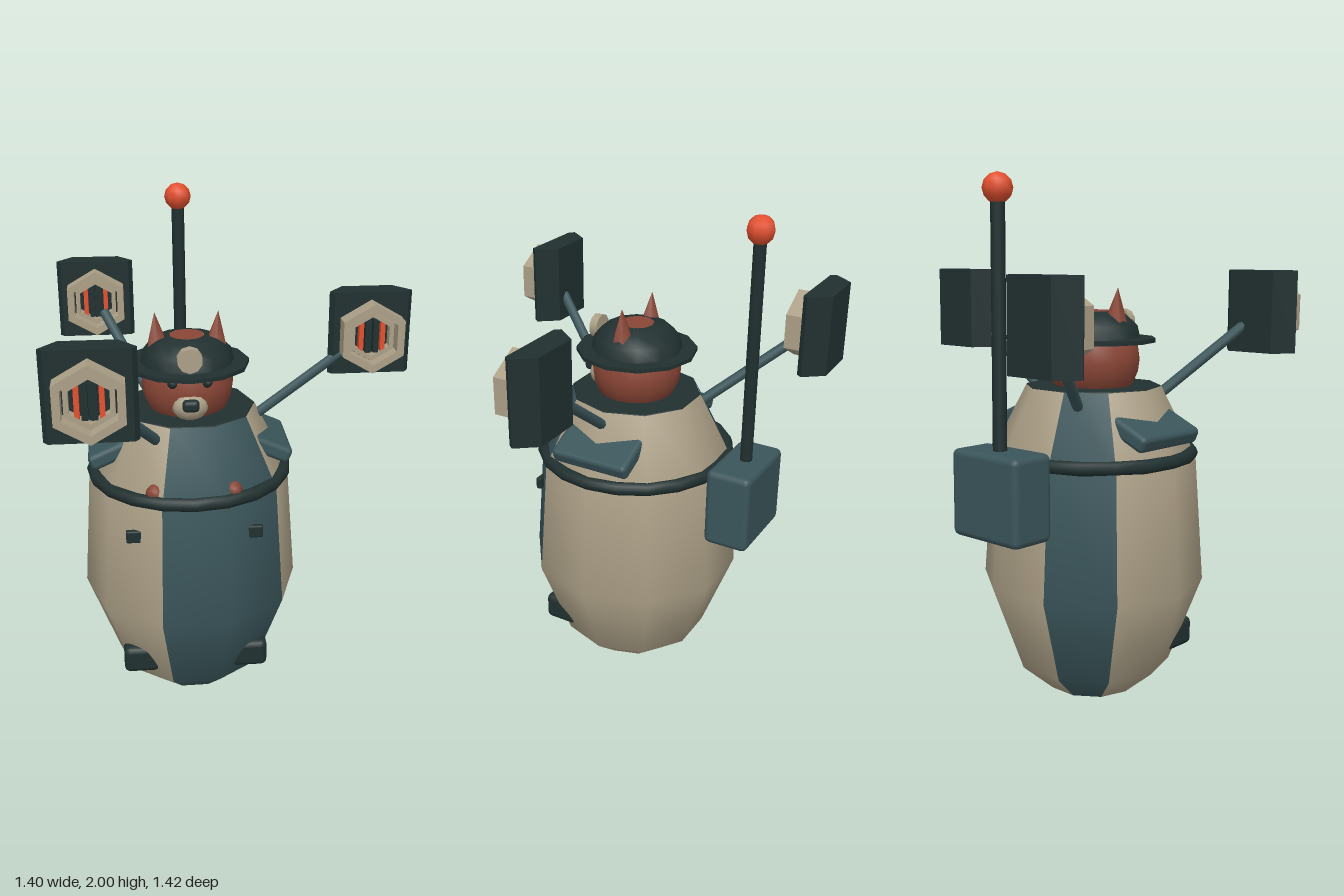
import * as THREE from 'three';
import { RoundedBoxGeometry } from 'three/addons/geometries/RoundedBoxGeometry.js';

const mat = (name, color) => {
  const m = new THREE.MeshStandardMaterial({ color });
  m.name = name;
  return m;
};

export function createModel() {
  const cream = mat('cream', 0xaca087);
  const teal = mat('teal', 0x3a555a);
  const dark = mat('dark', 0x213030);
  const brown = mat('brown', 0x8a4636);
  const red = mat('red', 0xe2502f);

  const root = new THREE.Group();
  root.name = 'capsulePilot';
  const figure = new THREE.Group(); // everything around the body axis
  figure.name = 'figure';
  figure.position.set(-0.182, 0, -0.004);
  root.add(figure);

  const add = (parent, name, geometry, material, x = 0, y = 0, z = 0) => {
    const m = new THREE.Mesh(geometry, material);
    m.name = name;
    m.position.set(x, y, z);
    parent.add(m);
    return m;
  };
  const lathe = (pts, n, start = 0) =>
    new THREE.LatheGeometry(pts.map(p => new THREE.Vector2(...p)), n, start, Math.PI * 2);
  const rod = (parent, name, a, b, r, material) => {
    const d = b.clone().sub(a);
    const m = add(parent, name, new THREE.CylinderGeometry(r, r, d.length(), 8), material);
    m.position.copy(a).add(b).multiplyScalar(0.5);
    m.quaternion.setFromUnitVectors(new THREE.Vector3(0, 1, 0), d.normalize());
    return m;
  };

  // Ten-sided capsule body; whole facets carry the stripe colour
  const profile = [[0.18, 0], [0.31, 0.11], [0.438, 0.45], [0.402, 0.945], [0.265, 1.215]];
  const start = -Math.PI / 10;
  const body = lathe(profile, 10, start);
  const perFacet = (profile.length - 1) * 6;
  for (let i = 0; i < 10; i++) body.addGroup(i * perFacet, perFacet, [0, 1, 6].includes(i) ? 1 : 0);
  add(figure, 'body', body, [cream, teal]);
  add(figure, 'bodyBase', new THREE.CylinderGeometry(0.18, 0.18, 0.004, 10, 1, false, start), dark, 0, 0.002);
  add(figure, 'collar', new THREE.CylinderGeometry(0.262, 0.265, 0.006, 10, 1, false, start), dark, 0, 1.215);
  add(figure, 'rimRing', new THREE.TorusGeometry(0.384, 0.027, 8, 20).rotateX(Math.PI / 2), dark, 0, 0.957);

  // Paired parts on the body
  for (const s of [-1, 1]) {
    const pad = add(figure, 'shoulderPad', new RoundedBoxGeometry(0.18, 0.065, 0.335, 2, 0.02), teal, s * 0.31, 1.073, -0.004);
    pad.rotation.z = -s * 0.42;
    add(figure, 'boot', new RoundedBoxGeometry(0.145, 0.115, 0.15, 2, 0.025), dark, s * 0.22, 0.213, 0.21);
    add(figure, 'latch', new RoundedBoxGeometry(0.06, 0.05, 0.025, 1, 0.006), dark, s * 0.233, 0.806, 0.322);
    add(figure, 'paw', new THREE.SphereGeometry(0.035, 8, 6), brown, s * 0.148, 0.985, 0.32);
  }

  // Head with face
  const head = new THREE.Group();
  head.name = 'head';
  figure.add(head);
  add(head, 'skull', new THREE.SphereGeometry(0.18, 16, 12), brown, 0, 1.315);
  add(head, 'muzzle', new THREE.SphereGeometry(0.072, 10, 8).scale(1, 0.78, 0.85), cream, 0, 1.265, 0.148);
  add(head, 'nose', new RoundedBoxGeometry(0.064, 0.046, 0.04, 2, 0.016), dark, 0, 1.287, 0.211);
  for (const s of [-1, 1]) {
    add(head, 'eye', new THREE.SphereGeometry(0.02, 8, 6), dark, s * 0.066, 1.36, 0.16);
    const ear = add(head, 'ear', new THREE.ConeGeometry(0.054, 0.16, 6), brown, s * 0.117, 1.515);
    ear.rotation.z = -s * 0.07;
  }

  // Brimmed hat with the crown open at the top, and a small lamp
  add(head, 'hatCrown', lathe([[0.186, 1.39], [0.172, 1.45], [0.125, 1.492], [0.068, 1.503]], 12), dark);
  add(head, 'hatTop', new THREE.CylinderGeometry(0.068, 0.07, 0.008, 10), brown, 0, 1.501);
  add(head, 'hatBrim', new THREE.CylinderGeometry(0.243, 0.243, 0.016, 12), dark, 0, 1.393);
  add(head, 'hatLamp', new THREE.CylinderGeometry(0.048, 0.05, 0.034, 10).rotateX(Math.PI / 2), cream, 0, 1.456, 0.178);

  // Backpack and aerial
  add(figure, 'backpack', new RoundedBoxGeometry(0.34, 0.326, 0.185, 2, 0.025), teal, 0, 0.858, -0.496);
  add(figure, 'aerial', new THREE.CylinderGeometry(0.026, 0.026, 0.92, 8), dark, 0, 1.46, -0.5);
  add(figure, 'aerialTip', new THREE.SphereGeometry(0.055, 8, 6), red, 0, 1.945, -0.5);

  // Hexagon outline, point up
  const hex = (r, Type) => {
    const path = new Type();
    for (let i = 0; i < 6; i++) {
      const a = Math.PI / 2 + i * Math.PI / 3;
      path[i ? 'lineTo' : 'moveTo'](r * Math.cos(a), r * Math.sin(a));
    }
    path.closePath();
    return path;
  };
  const hexRing = (outer, inner, depth) => {
    const shape = hex(outer, THREE.Shape);
    shape.holes.push(hex(inner, THREE.Path));
    return new THREE.ExtrudeGeometry(shape, { depth, bevelEnabled: false });
  };
  // Tapered plate, drawn in plan and raised along y
  const plan = new THREE.Shape(
    [[-0.162, 0.007], [-0.145, -0.014], [0.145, -0.014], [0.162, 0.007], [0.1, 0.088], [-0.1, 0.088]]
      .map(p => new THREE.Vector2(...p)));
  const plate = new THREE.ExtrudeGeometry(plan, { depth: 0.326, bevelEnabled: false })
    .translate(0, 0, -0.163).rotateX(-Math.PI / 2);

  // Three thruster pods on arms, a third of a turn apart, all facing forward
  for (const deg of [90, -30, -150]) {
    const a = THREE.MathUtils.degToRad(deg);
    const at = (r, y) => new THREE.Vector3(r * Math.sin(a), y, r * Math.cos(a));
    rod(figure, 'podArm', at(0.265, 1.16), at(0.65, 1.445), 0.021, teal);
    const pod = new THREE.Group();
    pod.name = 'pod';
    pod.position.copy(at(0.717, 1.492));
    pod.position.z += 0.003;
    figure.add(pod);
    add(pod, 'podPlate', plate, dark);
    add(pod, 'podRing', hexRing(0.138, 0.106, 0.076), cream, 0, -0.004, 0.012);
    add(pod, 'podInnerRing', hexRing(0.098, 0.078, 0.04), cream, 0, -0.004, 0.012);
    for (const s of [-1, 1]) {
      add(pod, 'redBar', new THREE.BoxGeometry(0.018, 0.13, 0.03), red, s * 0.042, -0.004, 0.035);
      add(pod, 'darkBar', new THREE.BoxGeometry(0.022, 0.13, 0.03), dark, s * 0.016, -0.004, 0.035);
    }
  }
  return root;
}
